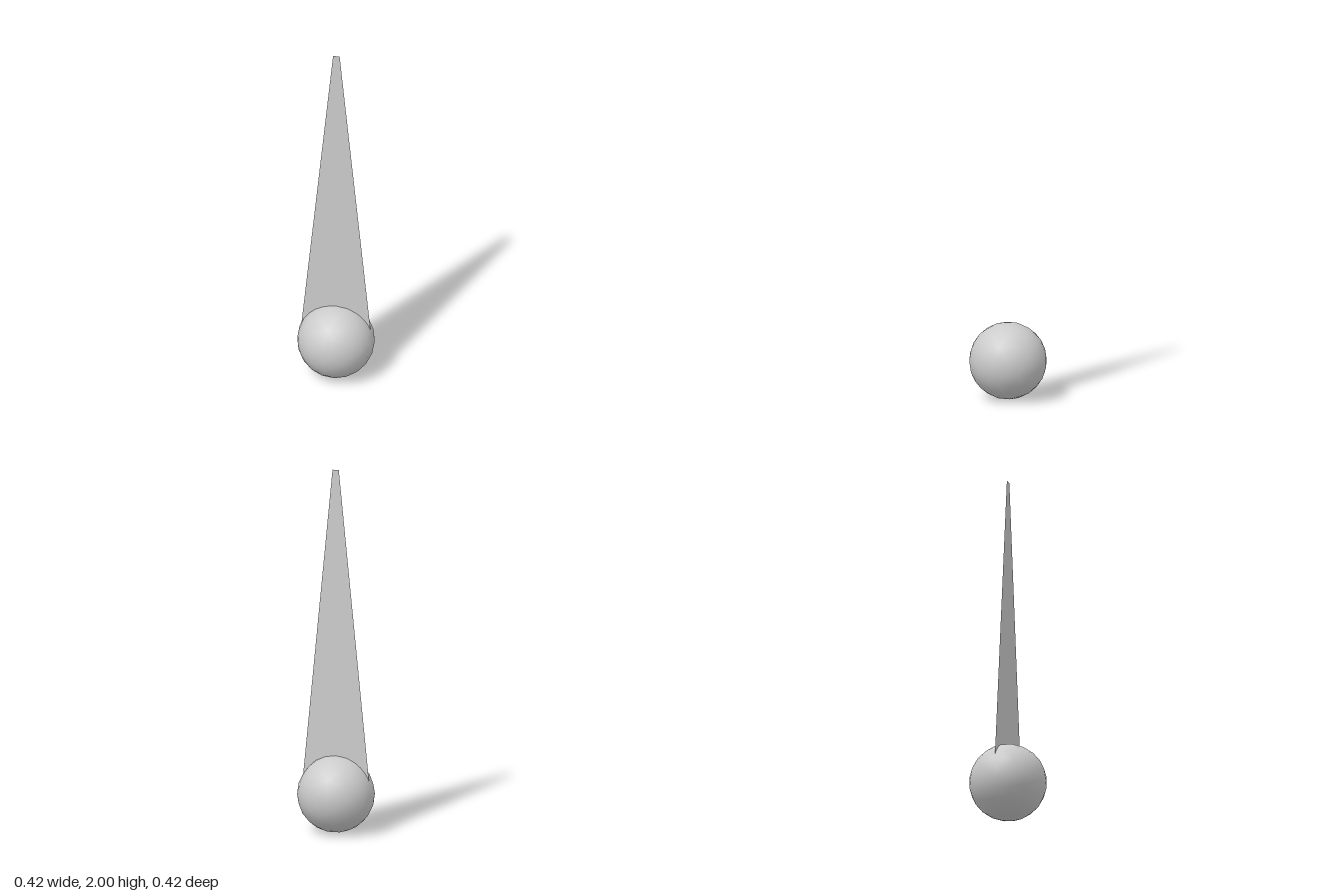
import * as THREE from 'three';

export function createModel() {
  const model = new THREE.Group();

  // smooth ball at the base
  const ball = new THREE.Mesh(
    new THREE.IcosahedronGeometry(0.21, 3).rotateY(0.1),
    new THREE.MeshStandardMaterial({ color: 0xcccccc })
  );
  ball.name = 'ball';
  ball.position.y = 0.21;
  model.add(ball);

  // flat tapering blade, its lower edge hidden inside the ball
  const outline = new THREE.Shape([
    new THREE.Vector2(-0.195, 0.24),
    new THREE.Vector2(0.195, 0.24),
    new THREE.Vector2(0.02, 2),
    new THREE.Vector2(-0.016, 2),
  ]);
  const blade = new THREE.Mesh(
    new THREE.ShapeGeometry(outline),
    new THREE.MeshStandardMaterial({ color: 0xcccccc, side: THREE.DoubleSide })
  );
  blade.name = 'blade';
  model.add(blade);

  return model;
}
